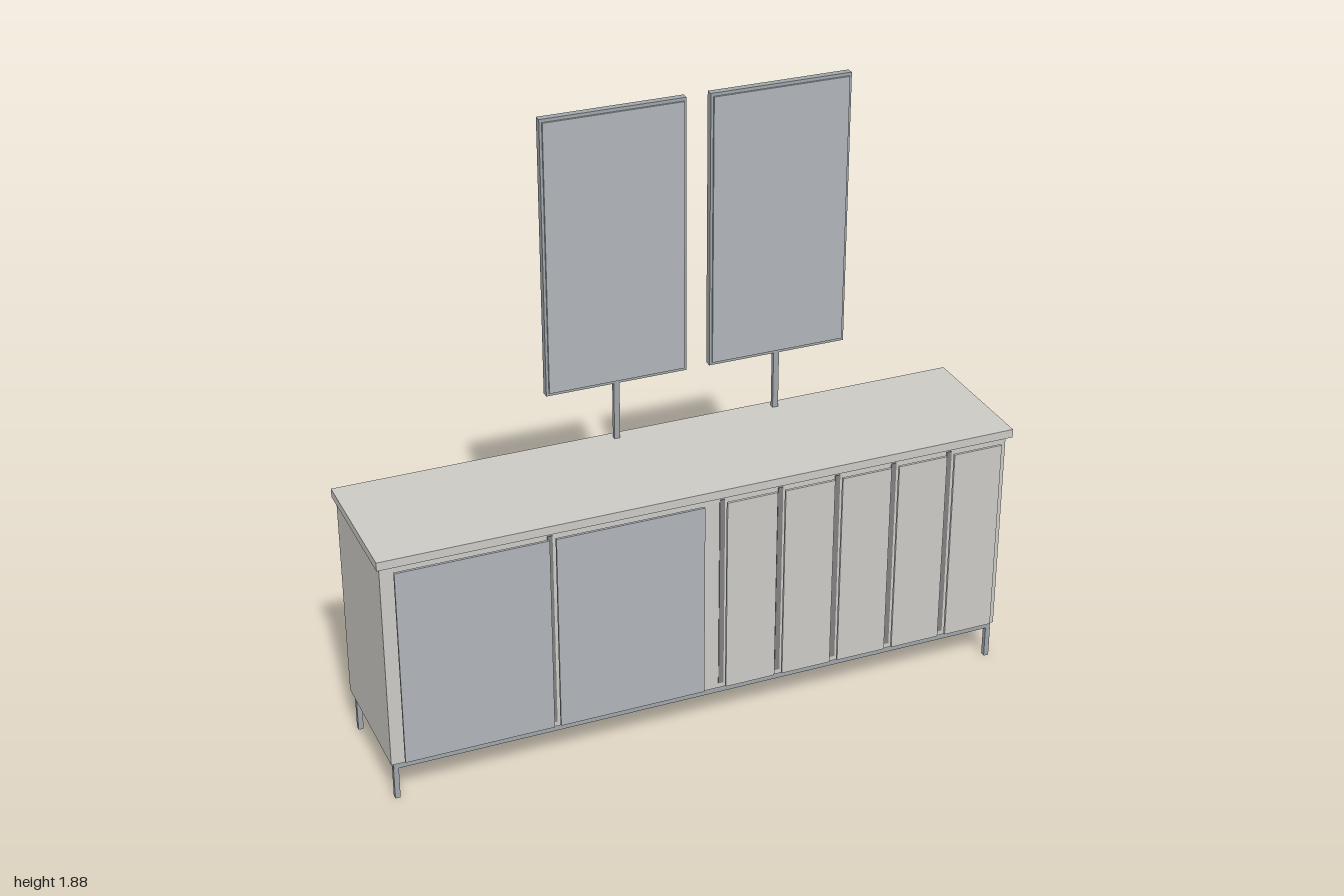
import * as THREE from 'three';

const material = (color) => new THREE.MeshStandardMaterial({ color });

export function createModel() {
  const model = new THREE.Group();
  const stone = material(0xcccac5);
  const glass = material(0xb0b4b8);
  const metal = material(0xa0a6aa);
  const dark = material(0x808080);

  // Box given by its lower and upper limits on each axis
  function box(name, mat, [x0, x1], [y0, y1], [z0, z1]) {
    const mesh = new THREE.Mesh(new THREE.BoxGeometry(x1 - x0, y1 - y0, z1 - z0), mat);
    mesh.position.set((x0 + x1) / 2, (y0 + y1) / 2, (z0 + z1) / 2);
    mesh.name = name;
    model.add(mesh);
  }

  // Cabinet body, worktop and base plate
  box('worktop', stone, [-1, 1], [0.795, 0.822], [-0.227, 0.221]);
  box('cabinetBody', stone, [-0.988, 0.988], [0.123, 0.795], [-0.221, 0.2]);
  box('basePlate', metal, [-0.98, 0.98], [0.104, 0.123], [-0.206, 0.196]);

  // Four square legs
  for (const x of [-0.973, 0.973]) {
    for (const z of [-0.188, 0.188]) {
      box('leg', metal, [x - 0.008, x + 0.008], [0, 0.104], [z - 0.008, z + 0.008]);
    }
  }

  // Thin front panels, standing just clear of the body
  const panelY = [0.14, 0.779];
  const panelZ = [0.219, 0.227];
  for (const x of [-0.952, -0.473]) {
    box('glassDoor', glass, [x, x + 0.459], panelY, panelZ);
  }
  for (let i = 0; i < 5; i++) {
    const x = 0.045 + i * 0.186;
    box('frontPanel', stone, [x + 0.012, x + 0.172], panelY, panelZ);
  }

  // Dark vertical strips between the panels
  for (const x of [-0.484, 0.051, 0.237, 0.423, 0.609, 0.795]) {
    box('gapStrip', dark, [x - 0.008, x + 0.008], panelY, [0.198, 0.203]);
  }

  // Two mirrors, each a backing, an inset pane and a post
  for (const x of [-0.1225, 0.3985]) {
    box('mirrorBacking', metal, [x - 0.223, x + 0.223], [1.01, 1.878], [-0.21, -0.187]);
    box('mirrorPane', glass, [x - 0.215, x + 0.215], [1.02, 1.868], [-0.19, -0.181]);
    box('mirrorPost', metal, [x - 0.009, x + 0.009], [0.822, 1.01], [-0.204, -0.19]);
  }

  return model;
}
